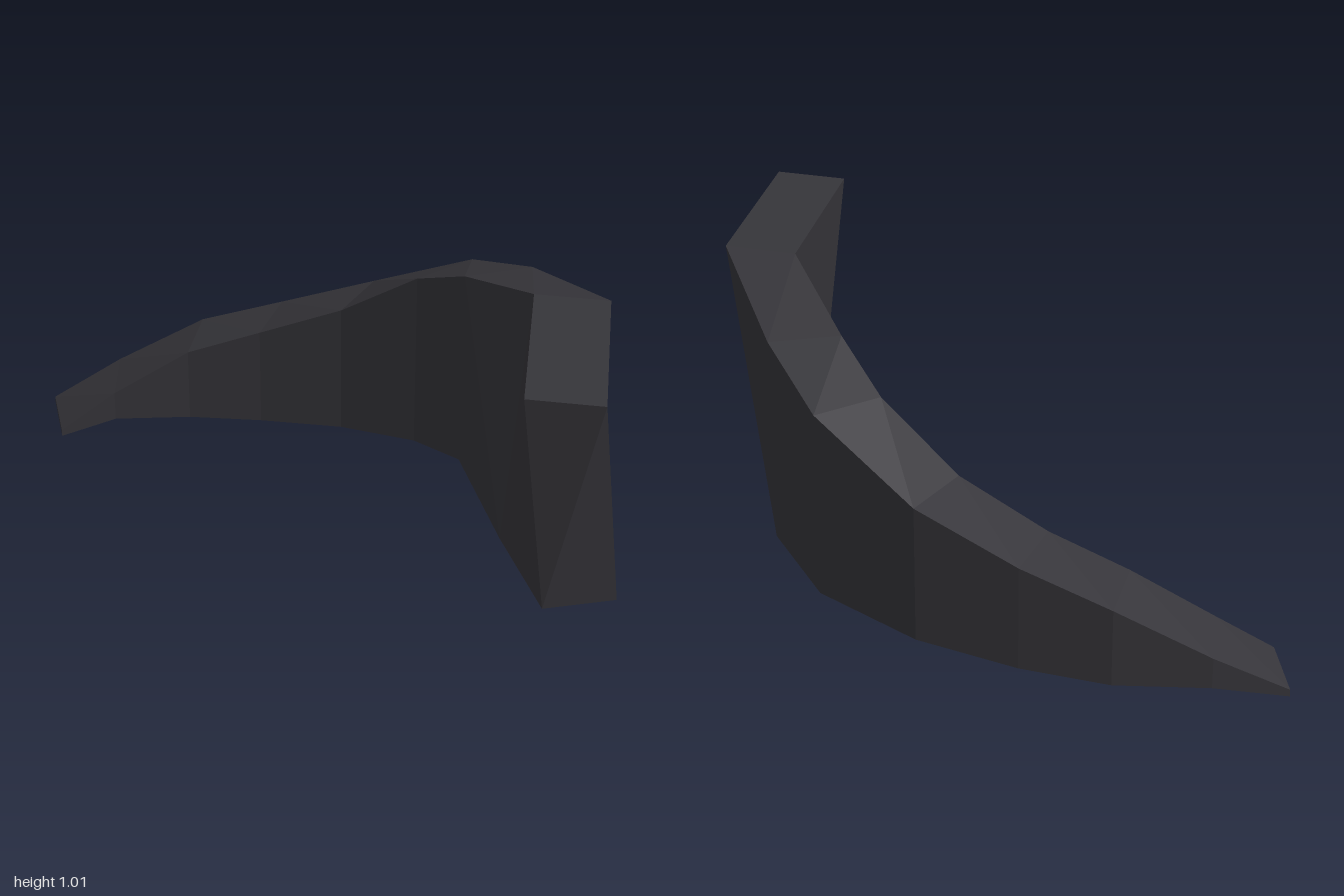
import * as THREE from 'three';

// Sections along the curve: outer [x, z], inner [x, z], top height, bottom height,
// and, where the wall leans, the outer and inner positions at the bottom.
const sections = [
  { outer: [-0.85, -1.0], inner: [-0.85, -0.76], top: 0.025, bottom: 0 },
  { outer: [-0.6, -1.0], inner: [-0.65, -0.76], top: 0.16, bottom: 0.05 },
  { outer: [-0.29, -0.95], inner: [-0.38, -0.72], top: 0.325, bottom: 0.05 },
  { outer: [-0.01, -0.84], inner: [-0.13, -0.63], top: 0.43, bottom: 0.06 },
  { outer: [0.3, -0.68], inner: [0.14, -0.49], top: 0.57, bottom: 0.085 },
  { outer: [0.59, -0.41], inner: [0.37, -0.31], top: 0.77, bottom: 0.11 },
  { outer: [0.72, -0.11], inner: [0.48, -0.09], top: 0.885, bottom: 0.155 },
  { outer: [0.84, 0.38], inner: [0.61, 0.29], top: 1.01, bottom: 0.15, outerLow: [0.745, 0.4], innerLow: [0.5, 0.4] },
  { outer: [0.64, 1.0], inner: [0.41, 0.91], top: 1.012, bottom: 0.22, outerLow: [0.75, 0.9], innerLow: [0.505, 0.9] },
];

// Four corners of a section: outer top, inner top, inner bottom, outer bottom
function corners({ outer, inner, top, bottom, outerLow = outer, innerLow = inner }) {
  const at = ([x, z], y) => [x, y, z];
  return [at(outer, top), at(inner, top), at(innerLow, bottom), at(outerLow, bottom)];
}

function curvedWallGeometry() {
  const rings = sections.map(corners);
  const positions = [];
  const quad = (a, b, c, d) => positions.push(...a, ...b, ...c, ...a, ...c, ...d);

  // Top, inner, bottom and outer faces between neighbouring sections
  for (let i = 0; i < rings.length - 1; i++) {
    for (let k = 0; k < 4; k++) {
      const n = (k + 1) % 4;
      quad(rings[i][k], rings[i][n], rings[i + 1][n], rings[i + 1][k]);
    }
  }
  // End caps
  quad(...[...rings[0]].reverse());
  quad(...rings[rings.length - 1]);

  const geometry = new THREE.BufferGeometry();
  geometry.setAttribute('position', new THREE.Float32BufferAttribute(positions, 3));
  geometry.computeVertexNormals();
  return geometry;
}

export function createModel() {
  const group = new THREE.Group();
  const charcoal = new THREE.MeshStandardMaterial({ color: 0x36353a });
  charcoal.name = 'charcoal';

  const wall = new THREE.Mesh(curvedWallGeometry(), charcoal);
  wall.name = 'curvedWall';
  group.add(wall);
  return group;
}
